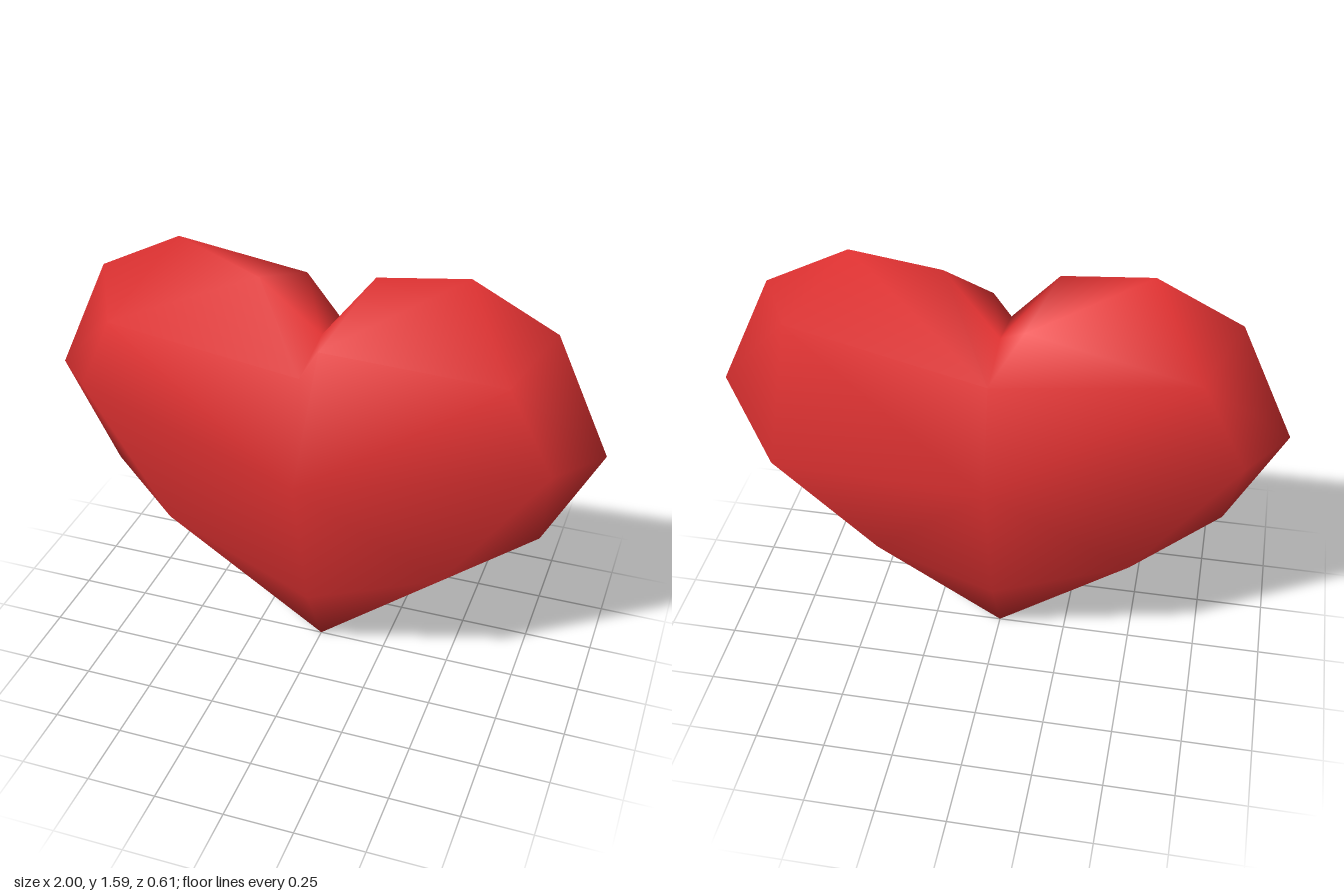
import * as THREE from 'three';
import { mergeVertices } from 'three/addons/utils/BufferGeometryUtils.js';
import { ConvexGeometry } from 'three/addons/geometries/ConvexGeometry.js';

// Centre profile shared by both lobes: [y, z], mirrored front to back
const profile = [[0, 0], [0.29, 0.16], [0.86, 0.305], [1.25, 0.225], [1.3, 0]];

// Outer rim shared by both lobes: [x, y]
const rim = [[0.805, 0.64], [1, 1.02], [0.805, 1.44], [0.51, 1.59]];

// Hand-cut facets of each lobe: [x, y, z], with x measured outward
const leftLobe = [
  [0.19, 1.545, 0], [0.06, 1.35, 0.205], [0.7, 1.33, 0.205], [0.85, 1.0, 0.155], [0.5, 0.5, 0.17],
  [0.705, 1.38, -0.17], [0.78, 0.83, -0.22], [0.42, 0.47, -0.19],
];
const rightLobe = [
  [0.19, 1.52, 0.075], [0.7, 1.33, 0.205], [0.85, 1.03, 0.155], [0.53, 0.54, 0.17],
  [0.11, 1.44, -0.17], [0.7, 1.33, -0.21], [0.86, 0.98, -0.16], [0.5, 0.5, -0.17],
];

// Triangles of one convex lobe, without the hidden wall on the centre plane
function lobeTriangles(facets, side) {
  const points = [];
  for (const [y, z] of profile) {
    points.push(new THREE.Vector3(0, y, z));
    if (z > 0) points.push(new THREE.Vector3(0, y, -z));
  }
  for (const [x, y] of rim) points.push(new THREE.Vector3(side * x, y, 0));
  for (const [x, y, z] of facets) points.push(new THREE.Vector3(side * x, y, z));

  const p = new ConvexGeometry(points).getAttribute('position').array;
  const kept = [];
  for (let i = 0; i < p.length; i += 9) {
    const onWall = Math.max(Math.abs(p[i]), Math.abs(p[i + 3]), Math.abs(p[i + 6])) < 1e-4;
    if (!onWall) kept.push(...p.slice(i, i + 9));
  }
  return kept;
}

export function createModel() {
  const red = new THREE.MeshStandardMaterial({ color: 0xe53333 });
  red.name = 'red';

  // Both lobes welded into one smooth-shaded body
  const triangles = [...lobeTriangles(leftLobe, 1), ...lobeTriangles(rightLobe, -1)];
  let geometry = new THREE.BufferGeometry();
  geometry.setAttribute('position', new THREE.Float32BufferAttribute(triangles, 3));
  geometry = mergeVertices(geometry, 1e-4);
  geometry.computeVertexNormals();

  const heart = new THREE.Mesh(geometry, red);
  heart.name = 'heart';

  const model = new THREE.Group();
  model.name = 'heartModel';
  model.add(heart);
  return model;
}
